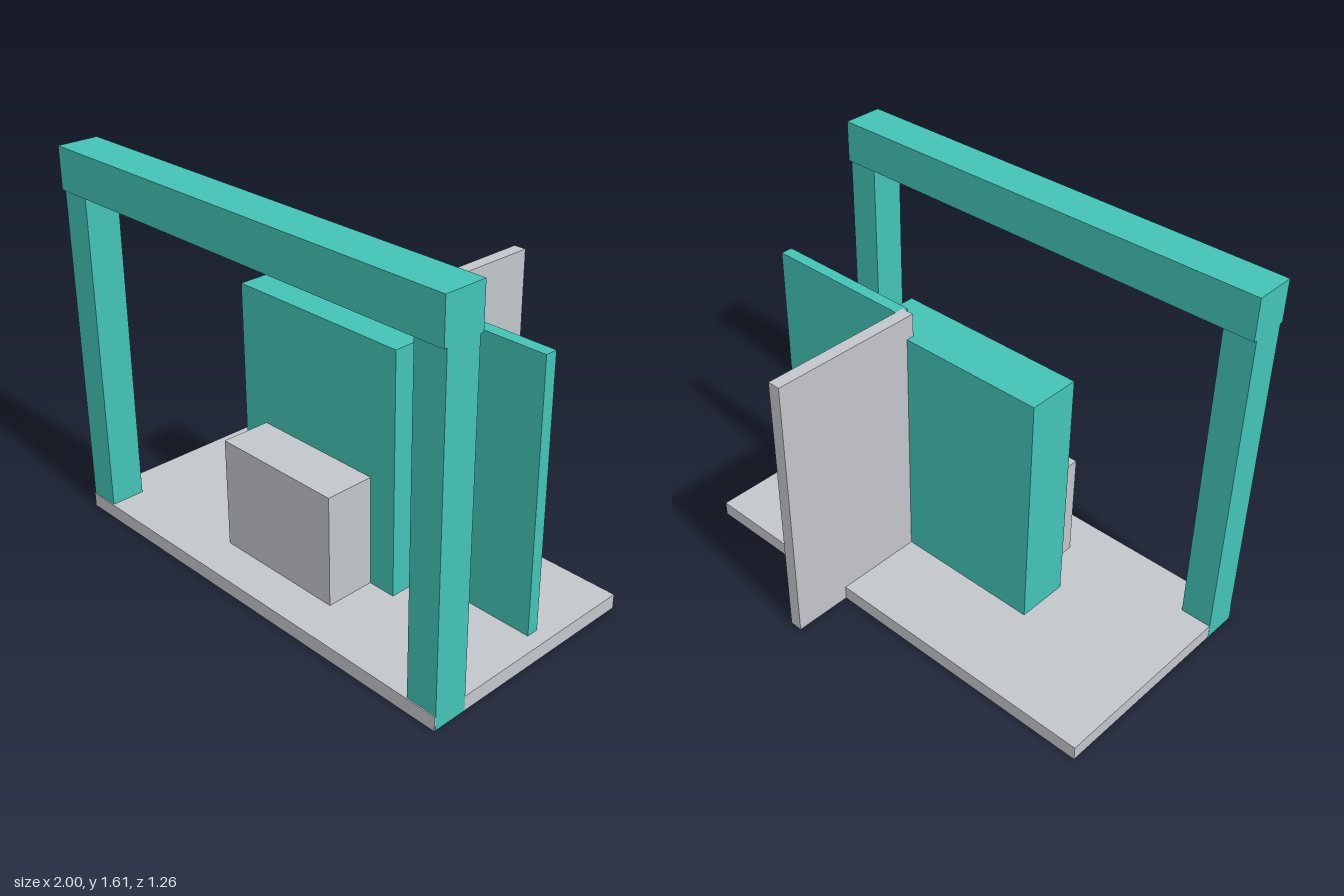
import * as THREE from 'three';

export function createModel() {
  const model = new THREE.Group();
  model.name = 'portalFrameModel';

  const teal = new THREE.MeshStandardMaterial({ color: 0x43c4b6 });
  teal.name = 'teal';
  const grey = new THREE.MeshStandardMaterial({ color: 0xc3c6cb });
  grey.name = 'light grey';

  // Box given by its extents along each axis
  function block(name, material, [x0, x1], [y0, y1], [z0, z1]) {
    const mesh = new THREE.Mesh(new THREE.BoxGeometry(x1 - x0, y1 - y0, z1 - z0), material);
    mesh.position.set((x0 + x1) / 2, (y0 + y1) / 2, (z0 + z1) / 2);
    mesh.name = name;
    model.add(mesh);
  }

  // Floor slab, a hair inside the posts so that coplanar faces do not clash
  block('basePlate', grey, [-0.999, 0.999], [0.001, 0.063], [-0.378, 0.622]);

  // Portal: two posts and a slightly deeper crossbeam
  for (const [side, s] of [['left', 1], ['right', -1]]) {
    const xs = [s * 0.865, s].sort((a, b) => a - b);
    block(side + 'Post', teal, xs, [0.002, 1.43], [0.47, 0.617]);
  }
  block('crossbeam', teal, [-1, 1], [1.43, 1.605], [0.455, 0.63]);

  // Central block with a lower step in front
  block('centralBlock', teal, [-0.42, 0.42], [0, 1.1], [0.008, 0.235]);
  block('frontStep', grey, [-0.297, 0.297], [0.002, 0.535], [0.235, 0.448]);

  // Side wall panel and the fin that overhangs the back of the slab
  block('sidePanel', teal, [0.262, 0.935], [0.002, 1.2], [0.005, 0.057]);
  block('rearFin', grey, [0.22, 0.275], [0.002, 1.201], [-0.63, 0.042]);

  return model;
}
